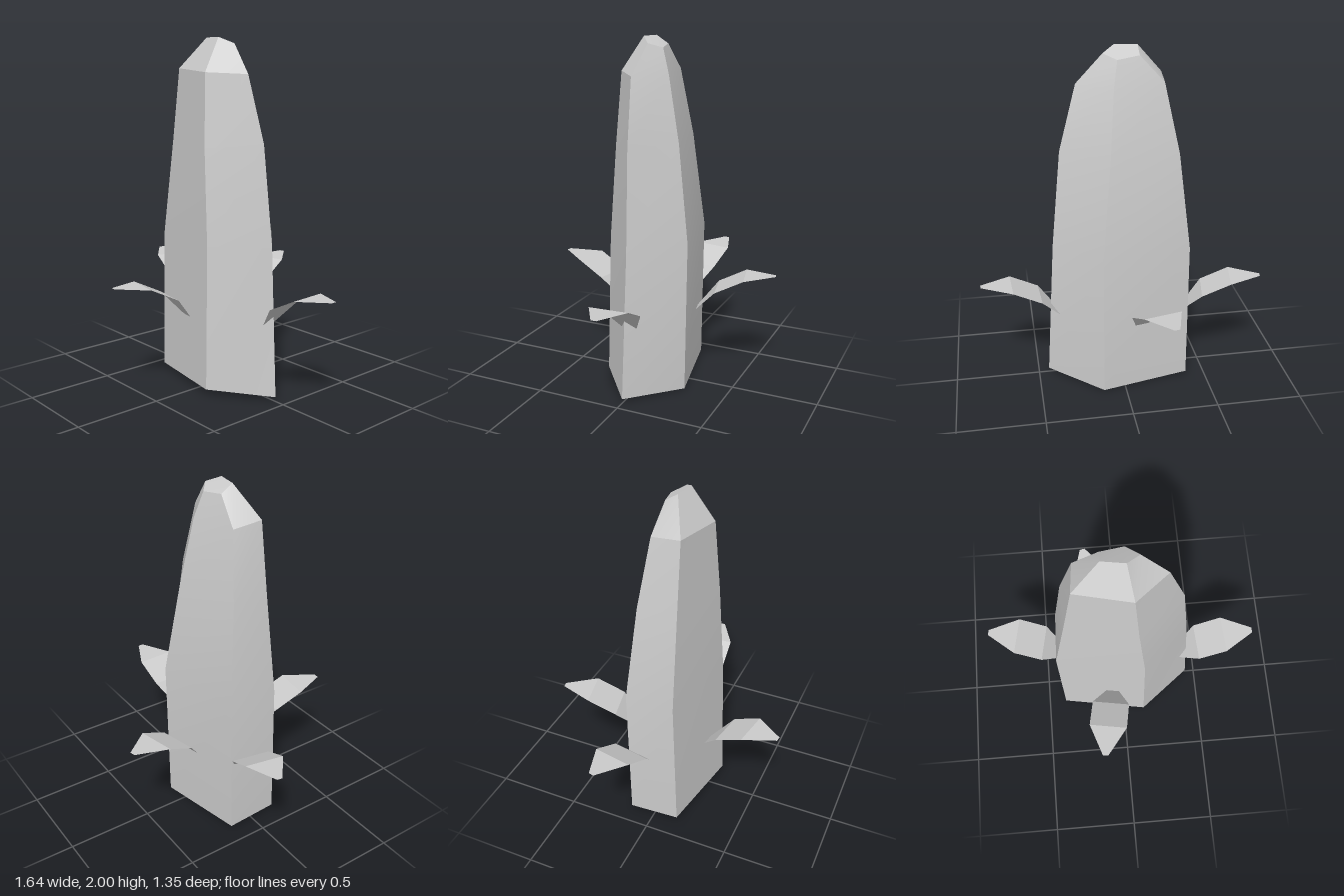
import * as THREE from 'three';
import { toCreasedNormals } from 'three/addons/utils/BufferGeometryUtils.js';

// Joins points and triangle indices into a geometry with creased normals
function build(points, index, crease) {
  const g = new THREE.BufferGeometry();
  g.setAttribute('position', new THREE.Float32BufferAttribute(points.flat(), 3));
  g.setIndex(index);
  return toCreasedNormals(g, crease);
}

// Tapering five-sided trunk, lofted through rings listed from bottom to top
function trunkGeometry() {
  const rings = [
    [[-0.39, 0.03, 0.15], [0.13, 0.04, 0.245], [0.44, 0.025, 0], [0.13, 0, -0.25], [-0.39, 0.01, -0.15]],
    [[-0.395, 0.86, 0.13], [0.12, 0.86, 0.225], [0.39, 0.87, -0.01], [0.13, 0.88, -0.26], [-0.385, 0.86, -0.16]],
    [[-0.312, 1.42, 0.12], [0.077, 1.4, 0.205], [0.335, 1.43, 0.005], [0.075, 1.43, -0.18], [-0.322, 1.42, -0.105]],
    [[-0.255, 1.83, 0.115], [0.052, 1.81, 0.178], [0.235, 1.8, 0.03], [0.045, 1.8, -0.105], [-0.24, 1.81, -0.055]],
    [[-0.105, 2, 0.035], [0.02, 2, 0.055], [0.09, 1.965, 0], [0.02, 1.94, -0.06], [-0.105, 1.955, -0.035]],
  ];
  const n = 5, index = [];
  for (let r = 0; r < rings.length - 1; r++) {
    for (let i = 0; i < n; i++) {
      const a = r * n + i, b = r * n + (i + 1) % n;
      index.push(a, b, b + n, a, b + n, a + n);
    }
  }
  const top = (rings.length - 1) * n;
  for (let i = 1; i < n - 1; i++) {
    index.push(0, i + 1, i); // base
    index.push(top, top + i, top + i + 1); // crown
  }
  return build(rings.flat(), index, 0.35);
}

// Thin folded leaf growing along +z: [length, height, half width] at each fold
function leafGeometry() {
  const folds = [[0, 0.425, 0.04], [0.115, 0.558, 0.112], [0.28, 0.64, 0.112], [0.458, 0.65, 0.016]];
  const points = [], index = [];
  folds.forEach(([z, y, w], i) => {
    points.push([-w, y, z], [w, y, z]);
    if (i) {
      const k = i * 2;
      index.push(k - 2, k, k + 1, k - 2, k + 1, k - 1);
    }
  });
  return build(points, index, 0.02);
}

export function createModel() {
  const model = new THREE.Group();
  const grey = new THREE.MeshStandardMaterial({ color: 0xcccccc, side: THREE.DoubleSide });
  grey.name = 'paleGrey';

  const trunk = new THREE.Mesh(trunkGeometry(), grey);
  trunk.name = 'trunk';
  model.add(trunk);

  // One leaf per side: name, root x, root z, heading
  const leaf = leafGeometry();
  const leaves = [
    ['frontLeaf', -0.073, 0.217, -0.168],
    ['leftLeaf', 0.36, -0.012, 1.63],
    ['backLeaf', -0.097, -0.232, -2.92],
    ['rightLeaf', -0.368, -0.07, -1.765],
  ];
  for (const [name, x, z, turn] of leaves) {
    const mesh = new THREE.Mesh(leaf, grey);
    mesh.name = name;
    mesh.position.set(x, 0, z);
    mesh.rotation.y = turn;
    model.add(mesh);
  }
  return model;
}
